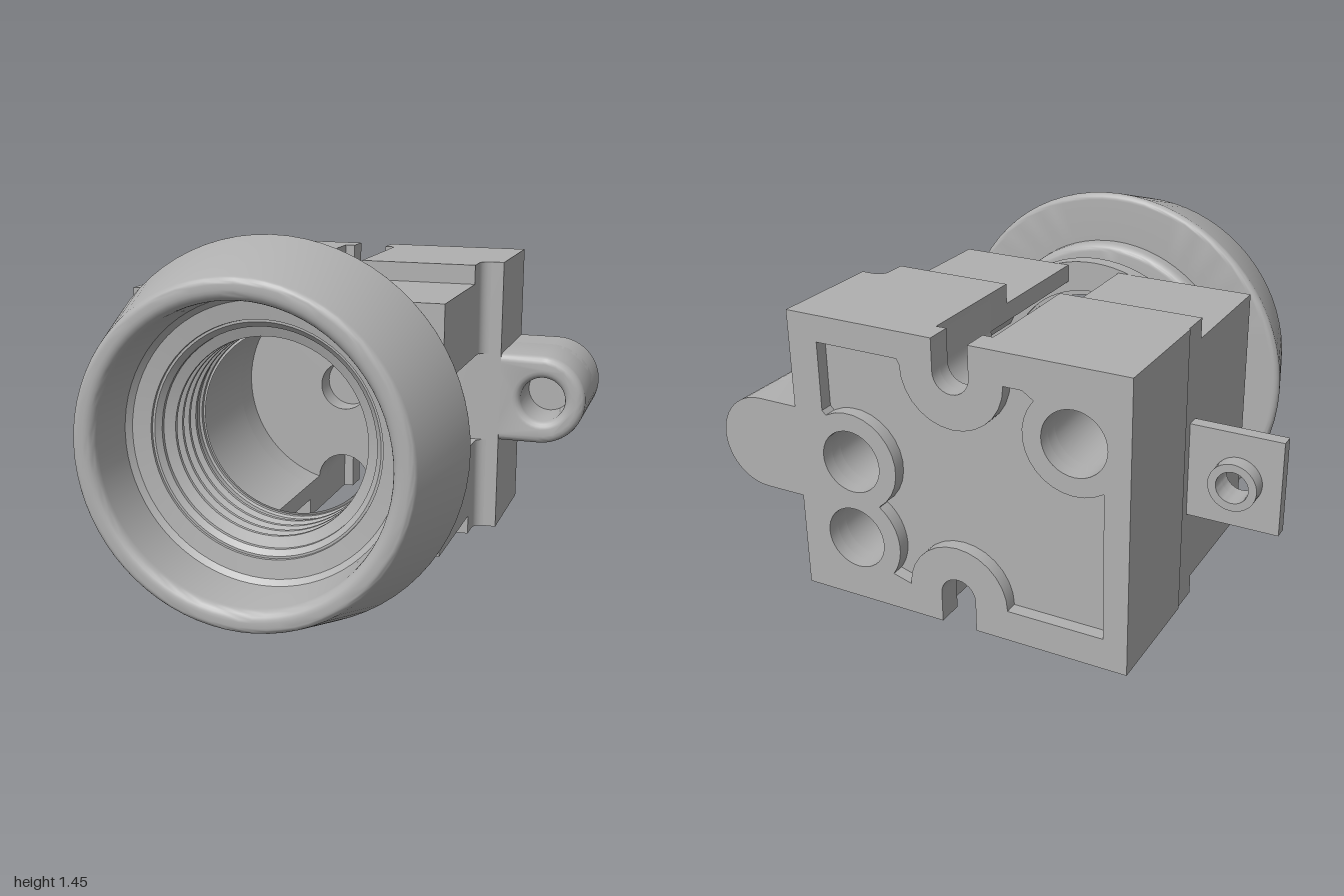
import * as THREE from 'three';
import { toCreasedNormals } from 'three/addons/utils/BufferGeometryUtils.js';

const grey = new THREE.MeshStandardMaterial({ color: 0xb0b0b0 });
grey.name = 'plain grey';

// points along an arc, angles in degrees
function arc(cx, cy, r, from, to, n = 14) {
  return Array.from({ length: n + 1 }, (_, i) => {
    const a = THREE.MathUtils.degToRad(from + (to - from) * i / n);
    return [cx + r * Math.cos(a), cy + r * Math.sin(a)];
  });
}
const toVectors = pts => pts.map(p => new THREE.Vector2(p[0], p[1]));
const circle = (x, y, r) => arc(x, y, r, 0, 350, 35);
const rect = (x0, x1, y0, y1) => [[x0, y0], [x1, y0], [x1, y1], [x0, y1]];

export function createModel() {
  const model = new THREE.Group();
  const body = new THREE.Group();
  body.position.y = 0.73; // height of the bore axis
  model.add(body);

  const add = (name, geometry) => {
    const mesh = new THREE.Mesh(toCreasedNormals(geometry, 0.6), grey);
    mesh.name = name;
    body.add(mesh);
    return mesh;
  };
  // flat outline with holes, extruded from z0 to z1, edges rounded by bevel
  const slab = (name, outline, holes, z0, z1, bevel = 0) => {
    const shape = new THREE.Shape(toVectors(outline));
    shape.holes = holes.map(h => new THREE.Path(toVectors(h)));
    const g = new THREE.ExtrudeGeometry(shape, {
      depth: z1 - z0 - 2 * bevel, bevelEnabled: bevel > 0,
      bevelThickness: bevel, bevelSize: bevel, bevelOffset: -bevel, bevelSegments: 4,
    });
    g.translate(0, 0, z0 + bevel);
    return add(name, g);
  };
  // profile of [radius, z] turned about the z axis
  const turned = (name, profile) => {
    const g = new THREE.LatheGeometry(toVectors([...profile, profile[0]]), 72);
    g.rotateX(Math.PI / 2);
    return add(name, g);
  };

  // rear block: layers with U grooves in top and bottom
  const rearOutline = (w, c) => [
    [-0.66, -0.55], [-w, -0.55], ...arc(0, -c, w, 180, 0), [w, -0.55],
    [0.66, -0.55], [0.66, 0.55], [w, 0.55], ...arc(0, c, w, 0, -180),
    [-w, 0.55], [-0.66, 0.55],
  ];
  const narrow = rearOutline(0.07, 0.43), wide = rearOutline(0.11, 0.41);
  const boltHoles = [[0.43, 0.01], [0.43, -0.3], [-0.457, 0.28]].map(([x, y]) => circle(x, y, 0.12));
  const pocket = [
    [0.54, 0.45], [0.21, 0.45], ...arc(0, 0.43, 0.2, 0, -180), [-0.27, 0.43],
    ...arc(-0.457, 0.28, 0.19, 40, -125), [-0.57, -0.43], [-0.21, -0.43],
    ...arc(0, -0.43, 0.2, 180, 0), ...arc(0.43, -0.3, 0.19, 215, 126),
    ...arc(0.43, 0.01, 0.19, 234, 60), [0.54, 0.19],
  ];
  slab('rearRim', narrow, [pocket, ...boltHoles], -0.83, -0.78);
  slab('pocketFloor', narrow, boltHoles, -0.78, -0.73);
  slab('rearBlock', wide, boltHoles, -0.73, -0.47);
  slab('boreEndWall', wide, [circle(0, 0, 0.1), circle(0.43, 0.01, 0.07)], -0.47, -0.37);

  // slotted housing around the bore: closed on the right, open on the left
  const R = 0.42, slot = 0.11, gap = 0.18;
  const slotAngle = THREE.MathUtils.radToDeg(Math.acos(slot / R));
  const gapAngle = THREE.MathUtils.radToDeg(Math.asin(gap / R));
  const housing = (name, h, z0, z1) => {
    slab(name + 'RightWall', [
      [-slot, h], [-0.655, h], [-0.655, -h], [-slot, -h],
      ...arc(0, 0, R, 360 - (180 - slotAngle) , 180 - slotAngle, 30),
    ], [], z0, z1);
    for (const s of [1, -1]) {
      slab(name + (s > 0 ? 'UpperJaw' : 'LowerJaw'), [
        [slot, h], [0.57, h], [0.57, gap], ...arc(0, 0, R, gapAngle, slotAngle),
      ].map(([x, y]) => [x, s * y]), [], z0, z1);
    }
  };
  housing('shoulder', 0.55, -0.37, -0.25);
  housing('frontHousing', 0.475, -0.25, 0.25);

  // small fillets in the step between rear block and jaws
  for (const s of [1, -1]) {
    const fillet = [[0.565, -0.38], [0.61, -0.38], ...arc(0.61, -0.33, 0.04, 270, 180, 5), [0.565, -0.33]];
    const g = new THREE.ExtrudeGeometry(new THREE.Shape(toVectors(fillet)), { depth: 0.37, bevelEnabled: false });
    g.rotateX(Math.PI / 2);
    g.translate(0, s > 0 ? 0.55 : -0.18, 0);
    add('stepFillet', g);
  }

  // side lug with a blind hole
  const lugOutline = [[0.6, -0.18], ...arc(0.82, 0, 0.18, -90, 90, 24), [0.6, 0.18]];
  slab('sideLug', lugOutline, [], -0.83, -0.6);
  slab('sideLugNose', lugOutline, [circle(0.83, 0, 0.09)], -0.68, -0.37, 0.03);

  // mounting tab with a hollow boss
  const tabHole = circle(-0.84, 0, 0.06);
  slab('mountingTab', rect(-1, -0.64, -0.18, 0.18), [tabHole], -0.32, -0.27);
  slab('tabBoss', circle(-0.84, 0, 0.09), [tabHole], -0.38, -0.32);

  // flange with ears and locating pins
  turned('flange', [[0.38, 0.25], [0.5, 0.25], [0.5, 0.31], [0.38, 0.31]]);
  for (const [x0, x1, px] of [[-0.61, -0.42, -0.51], [0.42, 0.55, 0.47]]) {
    slab('flangeEar', rect(x0, x1, -0.38, -0.2), [], 0.25, 0.31);
    const pin = new THREE.CylinderGeometry(0.04, 0.04, 0.05, 20);
    pin.rotateX(Math.PI / 2);
    pin.translate(px, -0.29, 0.33);
    add('locatingPin', pin);
  }

  // threaded neck
  const threads = [];
  for (let z = 0.54; z > 0.3; z -= 0.06) threads.push([0.41, z], [0.41, z - 0.015], [0.37, z - 0.03], [0.37, z - 0.045]);
  turned('threadedNeck', [[0.36, 0.26], [0.42, 0.26], [0.42, 0.41], [0.46, 0.41], [0.46, 0.56], [0.43, 0.56], ...threads]);

  // flared front ring with a rounded collar behind it
  turned('frontRing', [
    [0.42, 0.4], ...arc(0.5, 0.43, 0.03, -90, 0, 5), [0.53, 0.46], [0.7, 0.455],
    ...arc(0.702, 0.478, 0.023, -80, 15, 5), ...arc(0.598, 0.802, 0.028, 15, 90, 5),
    ...arc(0.58, 0.79, 0.04, 90, 180, 6), [0.53, 0.6], [0.51, 0.58], [0.44, 0.57],
  ]);

  return model;
}
